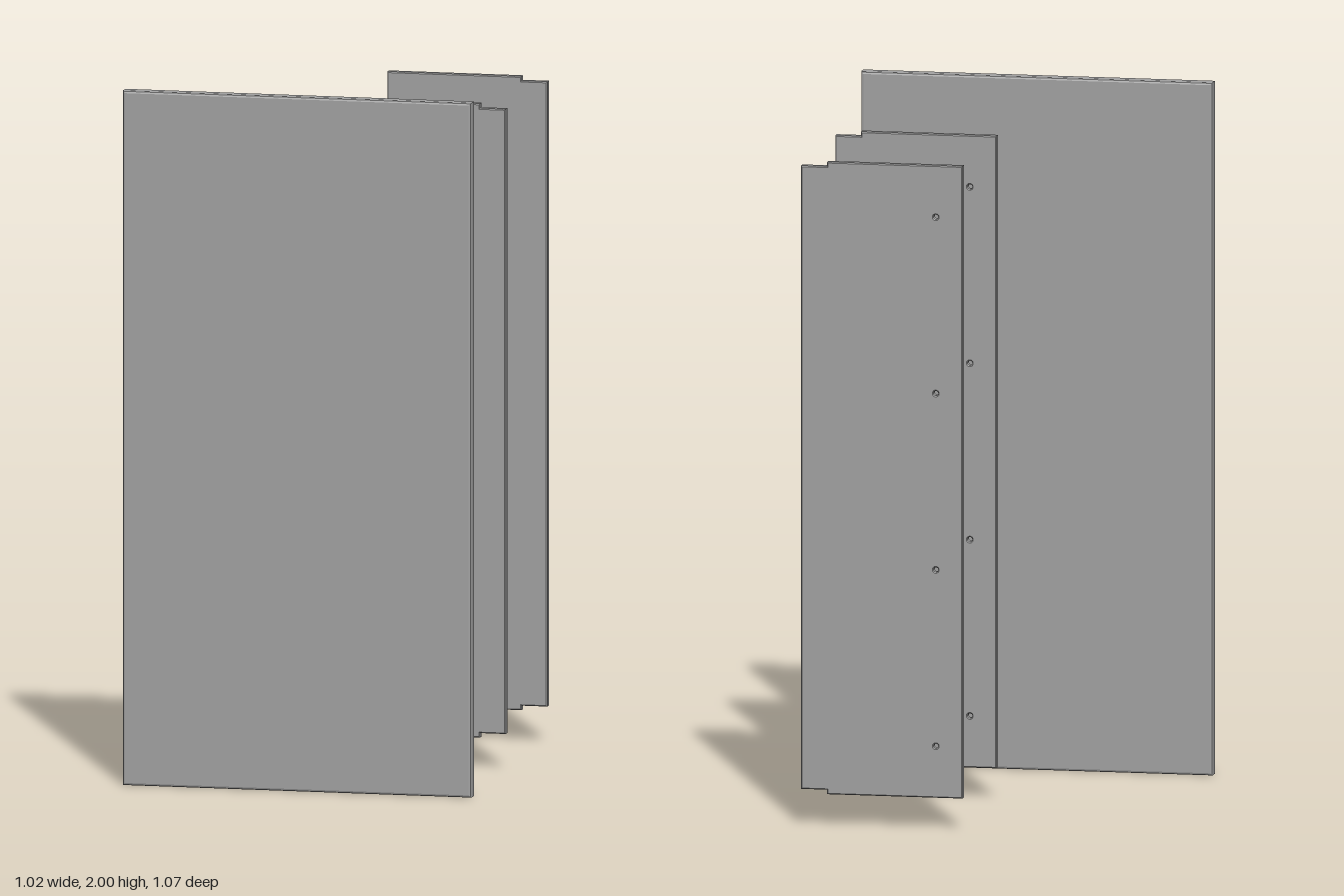
import * as THREE from 'three';

// Slab standing upright, with chamfered edges, from z0 to z1
function slab(shape, z0, z1, chamfer, segments, material, name) {
  const geometry = new THREE.ExtrudeGeometry(shape, {
    depth: z1 - z0 - 2 * chamfer,
    bevelEnabled: true,
    bevelThickness: chamfer,
    bevelSize: chamfer,
    bevelOffset: -chamfer,
    bevelSegments: segments,
    curveSegments: 8,
  });
  geometry.translate(0, 0, z0 + chamfer);
  const mesh = new THREE.Mesh(geometry, material);
  mesh.name = name;
  return mesh;
}

function outline(points) {
  return new THREE.Shape(points.map(([x, y]) => new THREE.Vector2(x, y)));
}

export function createModel() {
  const group = new THREE.Group();
  group.name = 'panelSet';
  const grey = new THREE.MeshStandardMaterial({ color: 0xa0a0a0 });
  grey.name = 'grey';

  // Large front board
  const board = outline([[-0.509, 0], [0.509, 0], [0.509, 2], [-0.509, 2]]);
  group.add(slab(board, 0.491, 0.533, 0.007, 2, grey, 'frontBoard'));

  // Narrow panel: slightly shorter tongue along its outer edge
  const panel = outline([
    [0.02, 0.09], [0.412, 0.09], [0.412, 0.103], [0.487, 0.103],
    [0.487, 1.902], [0.412, 1.902], [0.412, 1.915], [0.02, 1.915],
  ]);

  // Row of screw holes near the inner edge
  for (let i = 0; i < 4; i++) {
    const hole = new THREE.Path();
    hole.absarc(0.097, 0.239 + i * 0.509, 0.007, 0, Math.PI * 2, true);
    panel.holes.push(hole);
  }

  group.add(slab(panel, -0.016, 0.009, 0.003, 1, grey, 'middlePanel'));
  group.add(slab(panel, -0.533, -0.508, 0.003, 1, grey, 'backPanel'));

  return group;
}
